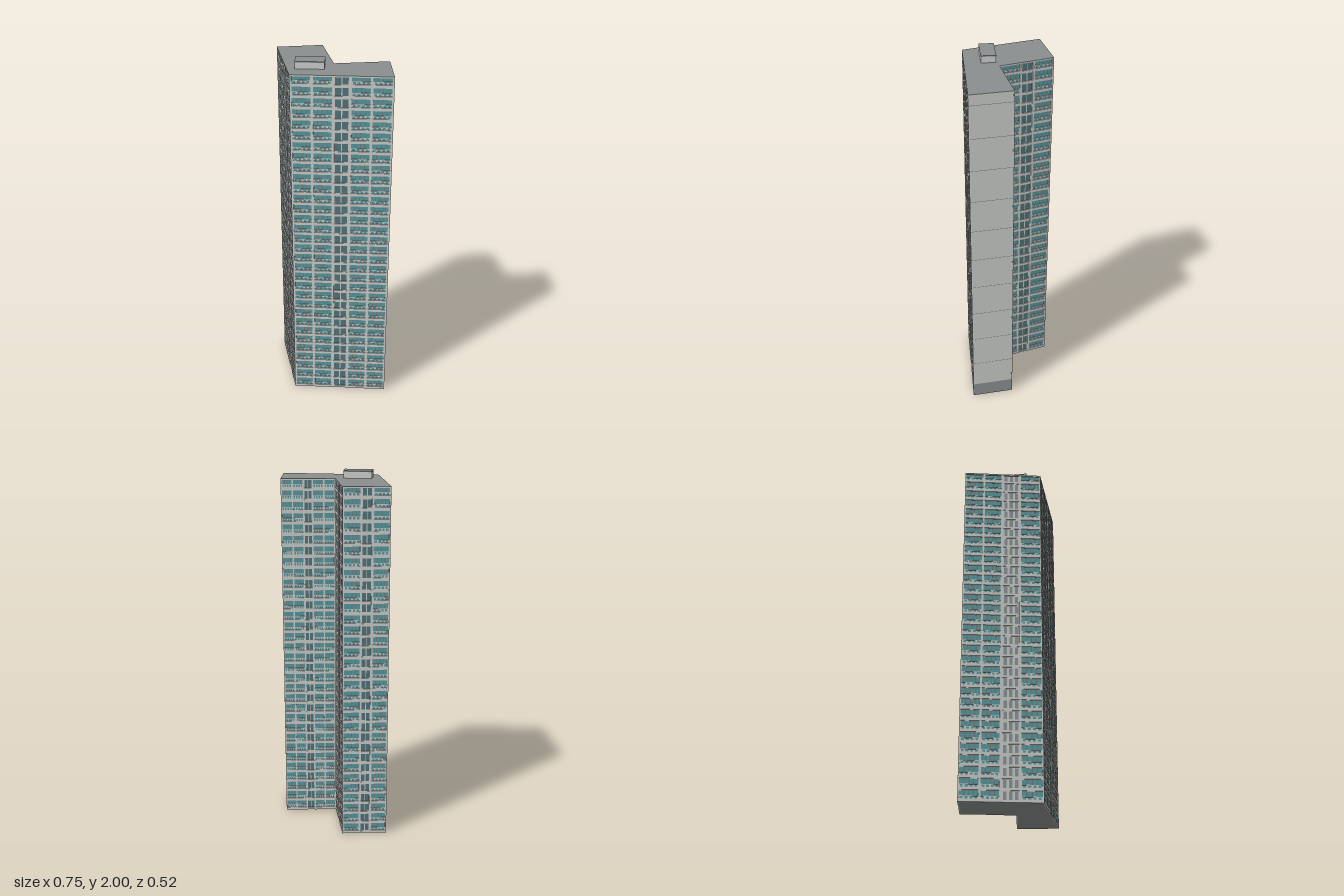
import * as THREE from 'three';
import { mergeGeometries } from 'three/addons/utils/BufferGeometryUtils.js';

const FLOORS = 32, TOP = 1.96, FH = TOP / FLOORS, INSET = 0.006;

// Plan corners as [x, z], ordered left to right as seen from outside
const PLAN = [[-0.376, 0.032], [-0.002, 0.257], [0.375, -0.115], [0.194, -0.259], [0.024, -0.022], [-0.234, -0.172]];

// Bays of each wall: [start, end, kind] as fractions of its length
const SYMMETRIC = [[0.02, 0.2, 'wide'], [0.225, 0.405, 'wide'], [0.43, 0.57, 'narrow'], [0.595, 0.775, 'wide'], [0.8, 0.98, 'wide']];
const SHORT = [[0.03, 0.37, 'wide'], [0.41, 0.61, 'narrow'], [0.65, 0.97, 'wide']];
const WALLS = [
  [[0.015, 0.24, 'wide'], [0.265, 0.48, 'wide'], [0.51, 0.715, 'slots'], [0.74, 0.985, 'wide']],
  SYMMETRIC, null, SYMMETRIC, SHORT, SHORT,
];

const mat = (name, color, extra = {}) => Object.assign(new THREE.MeshStandardMaterial({ color, ...extra }), { name });

function edge(i) {
  const a = PLAN[i], b = PLAN[(i + 1) % PLAN.length];
  const len = Math.hypot(b[0] - a[0], b[1] - a[1]);
  const d = [(b[0] - a[0]) / len, (b[1] - a[1]) / len];
  return { a, len, d, n: [-d[1], d[0]] };
}

// Plan with every window wall moved inward
function insetPlan(amount) {
  return PLAN.map((_, i) => {
    const p = edge((i + 5) % 6), q = edge(i);
    const line = (e, k) => e.n[0] * e.a[0] + e.n[1] * e.a[1] - (WALLS[k] ? amount : 0);
    const c1 = line(p, (i + 5) % 6), c2 = line(q, i);
    const det = p.n[0] * q.n[1] - p.n[1] * q.n[0];
    return [(c1 * q.n[1] - c2 * p.n[1]) / det, (p.n[0] * c2 - q.n[0] * c1) / det];
  });
}

function prism(points, y0, y1) {
  const shape = new THREE.Shape(points.map(([x, z]) => new THREE.Vector2(x, -z)));
  return new THREE.ExtrudeGeometry(shape, { depth: y1 - y0, bevelEnabled: false }).rotateX(-Math.PI / 2).translate(0, y0, 0);
}

export function createModel() {
  const model = new THREE.Group();
  model.name = 'towerBlock';
  const concrete = mat('paleConcrete', 0xcfd1cf);
  const roofGrey = mat('roofGrey', 0x8b8f8f);
  const baseGrey = mat('baseGrey', 0x8f9494);
  const teal = mat('tealGlass', 0x5b9ca2);
  const dark = mat('darkGlass', 0x53777c);
  const slotGlass = mat('greyGlass', 0x8b9698);
  const frame = mat('frameGrey', 0x73797a);

  const add = (name, geometry, material, parent = model) => {
    const mesh = new THREE.Mesh(geometry, material);
    mesh.name = name;
    parent.add(mesh);
    return mesh;
  };

  // Core and roof
  add('core', prism(insetPlan(INSET), 0, TOP - 0.008), [baseGrey, concrete]);
  add('roof', prism(PLAN, TOP - 0.008, TOP), [roofGrey, concrete]);

  // Rooftop plant room
  const plant = new THREE.Group();
  plant.name = 'plantRoom';
  plant.position.set(-0.0225, TOP, 0.1);
  plant.rotation.y = Math.PI / 4;
  add('plantWalls', new THREE.BoxGeometry(0.152, 0.034, 0.078).translate(0, 0.017, 0), concrete, plant);
  add('plantRoof', new THREE.BoxGeometry(0.154, 0.006, 0.08).translate(0, 0.037, 0), roofGrey, plant);
  model.add(plant);

  WALLS.forEach((bays, i) => {
    const { a, len, d, n } = edge(i);
    const wall = new THREE.Group();
    wall.name = bays ? 'windowWall' + i : 'blankEndWall';
    wall.applyMatrix4(new THREE.Matrix4().makeBasis(
      new THREE.Vector3(d[0], 0, d[1]), new THREE.Vector3(0, 1, 0), new THREE.Vector3(n[0], 0, n[1])
    ).setPosition(a[0], 0, a[1]));
    model.add(wall);

    // Blank end: dark plinth and fine panel joints
    if (!bays) {
      const strip = (y0, y1, z) => new THREE.PlaneGeometry(len, y1 - y0).translate(len / 2, (y0 + y1) / 2, z);
      add('plinth', strip(0, 0.085, 0.001), baseGrey, wall);
      const joints = [];
      for (let k = 1; k <= 10; k++) joints.push(strip(0.06 + k * 0.184, 0.0625 + k * 0.184, 0.001));
      add('panelJoints', mergeGeometries(joints), frame, wall);
      return;
    }

    const parts = { wide: [], narrow: [], slots: [], frames: [], solid: [] };
    const pane = (list, u0, u1, y0, y1, lift = 0.001) =>
      list.push(new THREE.PlaneGeometry((u1 - u0) * len, y1 - y0).translate((u0 + u1) / 2 * len, (y0 + y1) / 2, lift - INSET));
    const block = (u0, u1, y0, y1, depth = INSET) =>
      parts.solid.push(new THREE.BoxGeometry((u1 - u0) * len, y1 - y0, depth)
        .translate((u0 + u1) / 2 * len, (y0 + y1) / 2, depth / 2 - INSET));

    // Piers between the bays
    let last = 0;
    for (const [u0, u1] of [...bays, [1, 1]]) {
      block(last, u0, 0, TOP - 0.008);
      last = u1;
    }

    for (let f = 0; f < FLOORS; f++) {
      const y = f * FH;
      for (const [u0, u1, kind] of bays) {
        const w = u1 - u0, at = t => u0 + w * t;
        if (kind === 'wide') {
          // Parapet, ribbon window, low glazed doors and mullions
          block(u0, u1, y, y + 0.016);
          pane(parts.wide, u0, u1, y + 0.032, y + 0.058);
          for (const [s, e] of [[0.06, 0.2], [0.3, 0.46], [0.56, 0.7], [0.8, 0.94]]) pane(parts.wide, at(s), at(e), y + 0.016, y + 0.032);
          for (const t of [0.25, 0.51, 0.75]) pane(parts.frames, at(t - 0.02), at(t + 0.02), y + 0.032, y + 0.058, 0.002);
          block(u0, u1, y + 0.029, y + 0.032, 0.004);
        } else {
          // Slim upright windows
          const count = kind === 'slots' ? 3 : 2, list = parts[kind];
          block(u0, u1, y, y + 0.012, 0.004);
          for (let k = 0; k < count; k++) {
            const gap = kind === 'slots' ? 0.2 : 0.08;
            pane(list, at((k + gap) / count), at((k + 1 - gap) / count), y + 0.014, y + 0.056);
          }
        }
      }
    }
    add('piersAndParapets', mergeGeometries(parts.solid), concrete, wall);
    for (const [key, name, material] of [['wide', 'ribbonWindows', teal], ['narrow', 'stairWindows', dark],
      ['slots', 'slotWindows', slotGlass], ['frames', 'mullions', frame]]) {
      if (parts[key].length) add(name, mergeGeometries(parts[key]), material, wall);
    }
  });
  return model;
}
